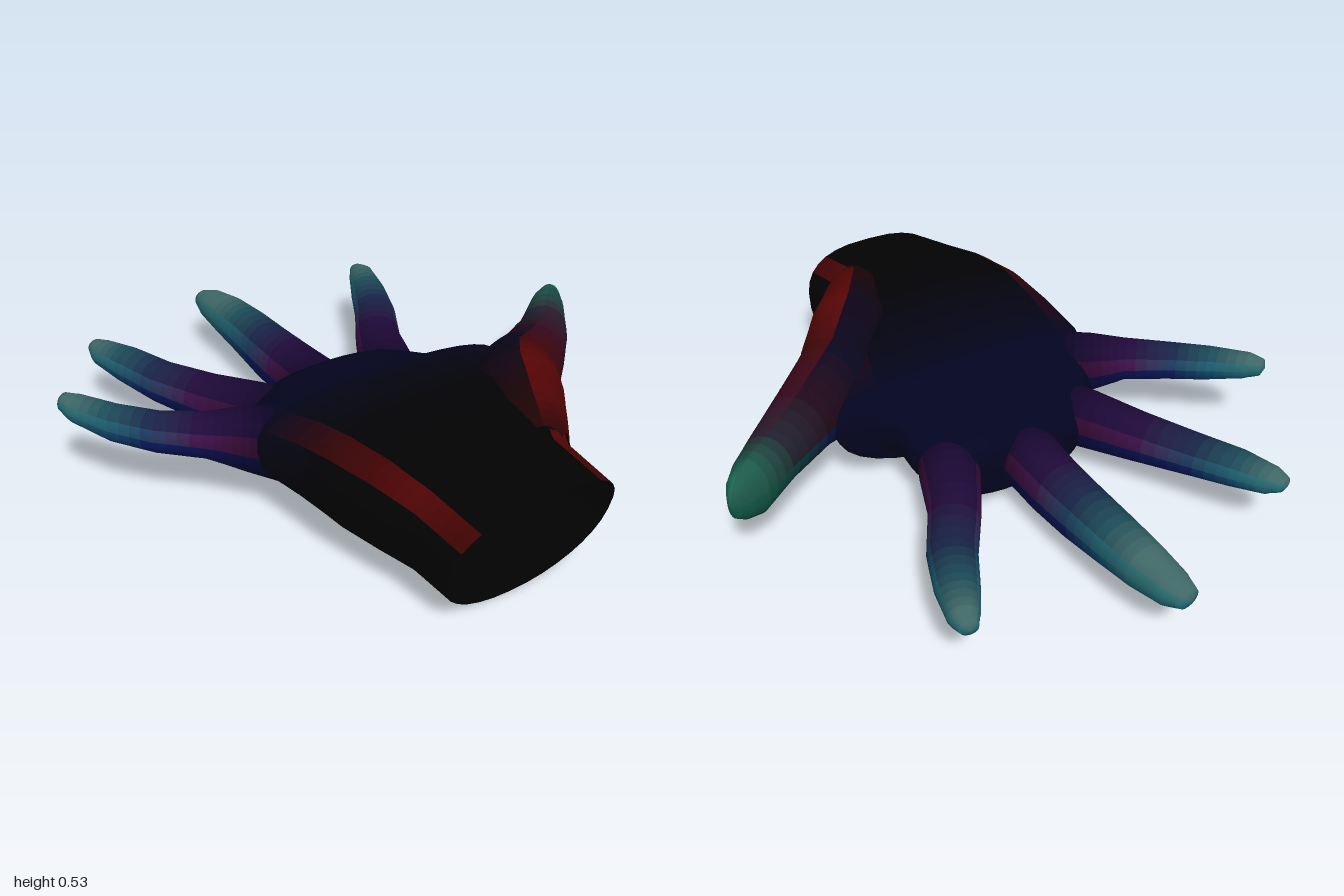
import * as THREE from 'three';

const SIDES = 32, STEPS = 4;
const UP = new THREE.Vector3(0, 1, 0);
const FORWARD = new THREE.Vector3(0, 0, -1);
const { lerp, clamp } = THREE.MathUtils;

const mixRings = (a, b, t) => a.map((v, k) => lerp(v, b[k], t));
const centreOf = ([x, y, z]) => new THREE.Vector3(x, y, z);

// Horizontal direction of growth between two rings
function heading(part, a, b) {
  if (part.straight) return FORWARD;
  return centreOf(b).sub(centreOf(a)).setY(0).normalize();
}

// True where a point lies within the volume of a part
function isInside(part, p) {
  for (let i = 0; i < part.rings.length - 1; i++) {
    const a = part.rings[i], b = part.rings[i + 1];
    const dir = heading(part, a, b), start = centreOf(a);
    const t = p.clone().sub(start).dot(dir) / centreOf(b).sub(start).dot(dir);
    if (t < 0 || t > 1) continue;
    const ring = mixRings(a, b, t), offset = p.clone().sub(centreOf(ring));
    const half = offset.y > 0 ? 0 : 1;
    const u = offset.dot(dir.clone().cross(UP)) / ring[3], v = offset.y / ring[4 + half];
    if (Math.abs(u) ** part.power[half] + Math.abs(v) ** part.power[half] < 1) return true;
  }
  return false;
}

// Skin through rings [x, y, z, halfWidth, heightAbove, heightBelow, shear], open at the start
// and closed at the end, leaving out what is hidden inside the neighbouring parts.
function buildSkin(part, neighbours) {
  const rings = [];
  part.rings.forEach((ring, i) => {
    const next = part.rings[i + 1];
    for (let s = 0; s < (next ? STEPS : 1); s++) rings.push(next ? mixRings(ring, next, s / STEPS) : ring);
  });
  const last = rings.length - 1, points = [];
  let dir;
  rings.forEach((ring, i) => {
    dir = heading(part, rings[Math.max(i - 1, 0)], rings[Math.min(i + 1, last)]);
    const across = dir.clone().cross(UP);
    for (let j = 0; j < SIDES; j++) {
      const a = (j / SIDES) * Math.PI * 2, half = j < SIDES / 2 ? 0 : 1;
      const bend = 2 / part.power[half];
      const u = ring[3] * Math.sign(Math.cos(a)) * Math.abs(Math.cos(a)) ** bend;
      const v = ring[4 + half] * Math.sign(Math.sin(a)) * Math.abs(Math.sin(a)) ** bend;
      const p = centreOf(ring).addScaledVector(across, u).addScaledVector(UP, v);
      p.z += ring[6] * v;
      points.push(p);
    }
  });
  const pole = points.length;
  points.push(centreOf(rings[last]).addScaledVector(dir, 0.012));
  const hidden = points.map((p) => neighbours.some((other) => isInside(other, p)));

  const all = [], patches = new Map();
  for (let i = 0; i <= last; i++) {
    for (let j = 0; j < SIDES; j++) {
      const k = (j + 1) % SIDES;
      const a = i * SIDES + j, b = i * SIDES + k, c = a + SIDES, d = b + SIDES;
      const tris = i < last ? [[a, c, b], [b, c, d]] : [[a, pole, b]];
      const color = part.paint(i / STEPS, (j + 0.5) / SIDES);
      if (!patches.has(color)) patches.set(color, []);
      for (const tri of tris) {
        all.push(...tri);
        if (!tri.every((n) => hidden[n])) patches.get(color).push(...tri);
      }
    }
  }
  const whole = new THREE.BufferGeometry().setFromPoints(points);
  whole.setIndex(all);
  whole.computeVertexNormals();

  // One mesh per colour, sharing the smooth normals of the whole skin
  const group = new THREE.Group();
  group.name = part.name;
  for (const [color, index] of patches) {
    if (!index.length) continue;
    const piece = whole.clone().setIndex(index).toNonIndexed();
    const material = new THREE.MeshStandardMaterial({ color, side: THREE.DoubleSide });
    const mesh = new THREE.Mesh(piece, material);
    mesh.name = part.name + 'Skin';
    group.add(mesh);
  }
  return group;
}

// Colour blended along a list of keys
function blend(keys, t) {
  const i = clamp(Math.floor(t), 0, keys.length - 2);
  return new THREE.Color(keys[i]).lerp(new THREE.Color(keys[i + 1]), clamp(t - i, 0, 1)).getHex();
}

// Black wrist, navy palm, red along the upper edges; turn runs 0..1 around the section
function paintPalm(t, turn) {
  const edge = (turn > 0.1 && turn < 0.17) || (turn > 0.36 && turn < 0.43);
  if (edge) return blend([0x400303, 0x500404, 0x400303, 0x300306, 0x1a0310, 0x08041a, 0x030420], t);
  return blend([0x020202, 0x020202, 0x020203, 0x020206, 0x03030f, 0x030418, 0x030420], t);
}

// Red ridge fading to a green tip
function paintThumb(t, turn) {
  if (turn > 0.5) return blend([0x020203, 0x03030c, 0x040418, 0x060830, 0x081440, 0x0c4040, 0x125a48], t);
  if (turn > 0.25) return blend([0x200303, 0x180306, 0x0c0414, 0x08061c, 0x200818, 0x202030, 0x1d5a4a], t);
  return blend([0x300303, 0x500404, 0x580505, 0x400508, 0x34081c, 0x281a2c, 0x145044, 0x1d6650], t);
}

// Purple knuckles fading to teal tips, magenta on the sides, bluer below
function paintFinger(t, turn) {
  if (turn > 0.5) return blend([0x040420, 0x06083a, 0x081050, 0x0a1a60, 0x104a70, 0x206a78], t);
  if (turn < 0.1 || turn > 0.4) return blend([0x100420, 0x300830, 0x3a1048, 0x1c3a60, 0x1c6070, 0x2a6c70], t);
  return blend([0x060420, 0x180630, 0x200a3a, 0x182448, 0x1c4c58, 0x406868], t);
}

// Palm sections from wrist to knuckles: [z, xMin, xMax, yMin, yWidest, yMax, shear]
const PALM = [
  [0.935, -0.34, 0.23, 0.005, 0.225, 0.42, 0.32],
  [0.78, -0.37, 0.22, 0.035, 0.26, 0.46, 0.15],
  [0.65, -0.42, 0.31, 0.03, 0.29, 0.488, 0.05],
  [0.5, -0.46, 0.37, 0.025, 0.3, 0.49, 0],
  [0.35, -0.48, 0.43, 0.035, 0.29, 0.46, 0],
  [0.2, -0.5, 0.48, 0.04, 0.27, 0.41, 0],
  [0.125, -0.48, 0.48, 0.04, 0.26, 0.385, 0],
  [0.1, -0.47, 0.36, 0.04, 0.25, 0.375, 0],
  [0.05, -0.44, 0.31, 0.035, 0.23, 0.36, 0],
  [-0.04, -0.41, 0.3, 0.012, 0.2, 0.33, 0],
  [-0.13, -0.35, 0.27, 0.045, 0.18, 0.3, 0],
  [-0.2, -0.25, 0.22, 0.075, 0.17, 0.26, 0],
  [-0.21, -0.12, 0.01, 0.12, 0.17, 0.22, 0],
];

// Digit rings: [x, y, z, halfWidth, halfHeight]
const THUMB = [
  [0.11, 0.29, 0.77, 0.08, 0.17],
  [0.15, 0.3, 0.67, 0.125, 0.21],
  [0.25, 0.31, 0.49, 0.155, 0.225],
  [0.38, 0.29, 0.34, 0.14, 0.185],
  [0.545, 0.29, 0.22, 0.115, 0.12],
  [0.7, 0.28, 0.1, 0.09, 0.1],
  [0.82, 0.285, -0.015, 0.065, 0.11],
  [0.87, 0.295, -0.06, 0.045, 0.085],
  [0.9, 0.3, -0.09, 0.02, 0.05],
];

const FINGERS = {
  indexFinger: [
    [0.16, 0.18, -0.03, 0.1, 0.1],
    [0.21, 0.18, -0.15, 0.1, 0.1],
    [0.29, 0.19, -0.33, 0.083, 0.08],
    [0.39, 0.2, -0.5, 0.077, 0.07],
    [0.45, 0.22, -0.64, 0.067, 0.06],
    [0.495, 0.24, -0.76, 0.048, 0.045],
    [0.505, 0.245, -0.81, 0.028, 0.025],
  ],
  middleFinger: [
    [-0.055, 0.17, -0.1, 0.1, 0.1],
    [-0.06, 0.17, -0.22, 0.1, 0.11],
    [-0.06, 0.165, -0.35, 0.094, 0.11],
    [-0.065, 0.17, -0.5, 0.088, 0.105],
    [-0.07, 0.185, -0.66, 0.083, 0.09],
    [-0.078, 0.195, -0.81, 0.075, 0.075],
    [-0.09, 0.2, -0.93, 0.06, 0.055],
    [-0.1, 0.205, -0.988, 0.038, 0.032],
  ],
  ringFinger: [
    [-0.27, 0.19, -0.03, 0.1, 0.1],
    [-0.33, 0.19, -0.14, 0.095, 0.1],
    [-0.42, 0.19, -0.3, 0.082, 0.085],
    [-0.51, 0.2, -0.47, 0.074, 0.07],
    [-0.575, 0.22, -0.62, 0.067, 0.06],
    [-0.62, 0.23, -0.73, 0.05, 0.045],
    [-0.63, 0.24, -0.775, 0.03, 0.025],
  ],
  littleFinger: [
    [-0.38, 0.23, 0.14, 0.11, 0.12],
    [-0.48, 0.25, 0.07, 0.1, 0.1],
    [-0.58, 0.265, 0.01, 0.078, 0.07],
    [-0.7, 0.27, -0.08, 0.064, 0.065],
    [-0.8, 0.285, -0.18, 0.056, 0.06],
    [-0.88, 0.31, -0.285, 0.047, 0.045],
    [-0.905, 0.32, -0.33, 0.03, 0.03],
  ],
};

export function createModel() {
  const palmRings = PALM.map(([z, x0, x1, y0, y, y1, shear]) =>
    [(x0 + x1) / 2, y, z, (x1 - x0) / 2, y1 - y, y - y0, shear]);
  const palm = { name: 'palm', rings: palmRings, power: [2.7, 2.1], straight: true, paint: paintPalm };
  const digits = Object.entries({ thumb: THUMB, ...FINGERS }).map(([name, rings]) => ({
    name,
    rings: rings.map(([x, y, z, w, h]) => [x, y, z, w, h, h, 0]),
    power: [2.1, 2.1],
    paint: name === 'thumb' ? paintThumb : paintFinger,
  }));
  const hand = new THREE.Group();
  hand.name = 'hand';
  hand.add(buildSkin(palm, digits));
  for (const digit of digits) hand.add(buildSkin(digit, [palm]));
  return hand;
}
